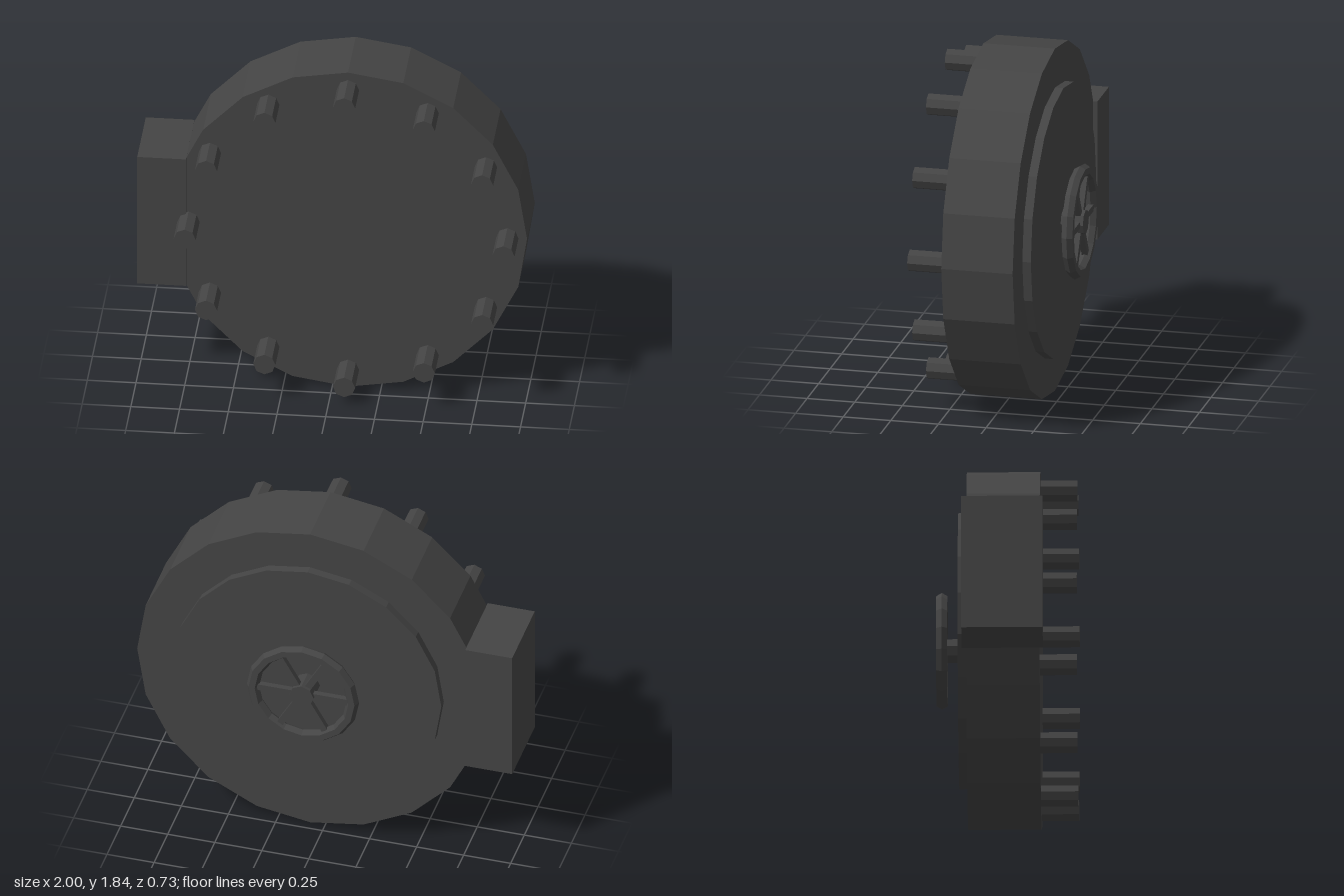
import * as THREE from 'three';

export function createModel() {
  const model = new THREE.Group();
  model.name = 'vaultDoor';
  const steel = new THREE.MeshStandardMaterial({ color: 0x444444 });
  steel.name = 'darkSteel';
  steel.flatShading = true;

  const add = (parent, name, geometry, x = 0, y = 0, z = 0) => {
    const mesh = new THREE.Mesh(geometry, steel);
    mesh.name = name;
    mesh.position.set(x, y, z);
    parent.add(mesh);
    return mesh;
  };
  // cylinder whose axis runs from z0 to z1
  const disc = (parent, name, r, z0, z1, sides, x = 0, y = 0) =>
    add(parent, name, new THREE.CylinderGeometry(r, r, z1 - z0, sides).rotateX(Math.PI / 2), x, y, (z0 + z1) / 2);

  // round door, centred on its own axis
  const door = new THREE.Group();
  door.name = 'door';
  door.position.set(0.08, 0.919, 0);
  model.add(door);
  disc(door, 'doorSlab', 0.919, -0.2, 0.175, 20);
  disc(door, 'backPlate', 0.71, -0.245, -0.19, 20);

  // ring of locking bolts on the front
  for (let i = 0; i < 12; i++) {
    const a = (i * Math.PI) / 6;
    disc(door, 'lockingBolt', 0.057, 0.16, 0.365, 8, 0.818 * Math.cos(a), 0.818 * Math.sin(a));
  }

  // hand wheel on the back
  const wheel = new THREE.Group();
  wheel.name = 'handWheel';
  door.add(wheel);
  disc(wheel, 'wheelHub', 0.065, -0.362, -0.235, 8);
  add(wheel, 'wheelRim', new THREE.TorusGeometry(0.265, 0.033, 6, 16), 0, 0, -0.331);
  for (let i = 0; i < 3; i++) {
    const spoke = add(wheel, 'wheelSpoke', new THREE.BoxGeometry(0.53, 0.035, 0.03), 0, 0, -0.331);
    spoke.rotation.z = (i * Math.PI) / 3;
  }

  // hinge block at the side
  add(model, 'hingeBlock', new THREE.BoxGeometry(0.25, 0.74, 0.415), -0.875, 0.92, -0.015);
  return model;
}
